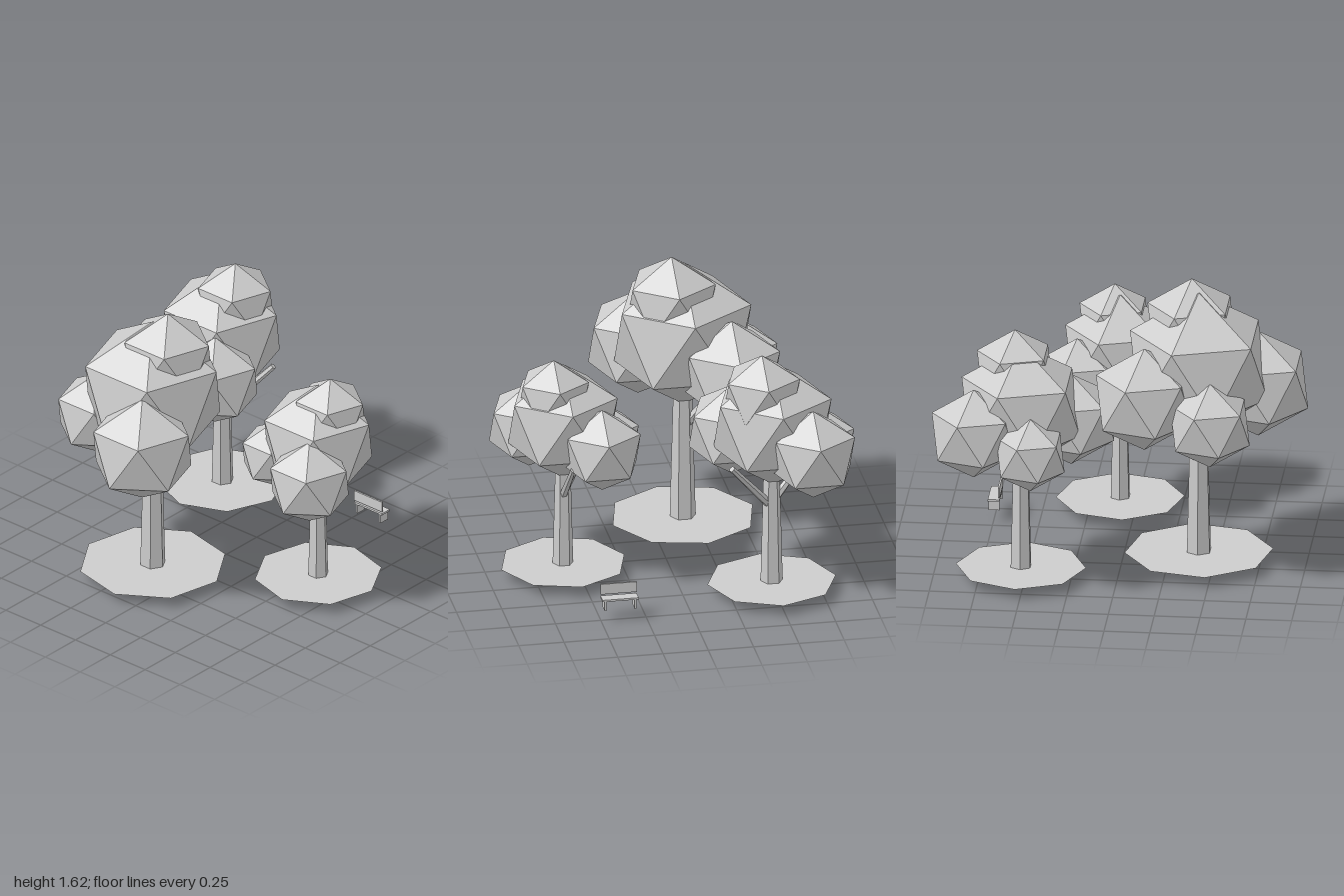
import * as THREE from 'three';

const stone = new THREE.MeshStandardMaterial({ color: 0xcccccc, flatShading: true });
stone.name = 'pale grey';
const sheet = new THREE.MeshStandardMaterial({ color: 0xcccccc, flatShading: true, side: THREE.DoubleSide });
sheet.name = 'pale grey sheet';

const GROUND = 0.062;

function add(parent, name, geometry, x = 0, y = 0, z = 0, material = stone) {
  const mesh = new THREE.Mesh(geometry, material);
  mesh.name = name;
  mesh.position.set(x, y, z);
  parent.add(mesh);
  return mesh;
}

// Icosahedron standing on a corner, with one upper corner towards +x
function clump(radius) {
  const g = new THREE.IcosahedronGeometry(radius, 0);
  g.rotateX(-Math.atan2((1 + Math.sqrt(5)) / 2, 1));
  g.rotateY(Math.PI / 2);
  return g;
}

// Tapered limb between two points
function limb(parent, name, from, to, r0, r1) {
  const a = new THREE.Vector3(...from), b = new THREE.Vector3(...to);
  const dir = b.clone().sub(a);
  const mid = a.clone().add(b).multiplyScalar(0.5);
  const mesh = add(parent, name, new THREE.CylinderGeometry(r1, r0, dir.length(), 6), mid.x, mid.y, mid.z);
  mesh.quaternion.setFromUnitVectors(new THREE.Vector3(0, 1, 0), dir.normalize());
}

// Trunk position, scale, grass disc, branches and foliage as [x, y, z, radius]
const trees = [
  {
    name: 'tallTree', x: -0.415, z: -0.17, s: 1, disc: 0.405, turn: 35,
    branches: [[0.57, -0.62, 0.8, -0.16], [0.58, -0.35, 0.8, -0.32]],
    foliage: [
      [-0.415, 1.145, -0.17, 0.42], [-0.37, 1.35, -0.1, 0.27], [-0.72, 0.975, 0.02, 0.305],
      [-0.139, 1.02, -0.39, 0.295], [-0.505, 0.92, -0.49, 0.243],
    ],
  },
  {
    name: 'middleTree', x: 0.525, z: -0.485, s: 0.86, disc: 0.355, turn: 45,
    branches: [[0.5, 0.665, 0.8, -0.24], [0.52, 0.49, 0.72, -0.65]],
    foliage: [
      [0.525, 0.993, -0.49, 0.361], [0.563, 1.183, -0.425, 0.232], [0.267, 0.86, -0.313, 0.262],
      [0.765, 0.897, -0.67, 0.255], [0.447, 0.82, -0.767, 0.209],
    ],
  },
  {
    name: 'smallTree', x: 0.085, z: 0.585, s: 0.8, disc: 0.35, turn: 38,
    branches: [[0.455, 0.34, 0.72, 0.575], [0.47, -0.03, 0.67, 0.44]],
    foliage: [
      [0.085, 0.903, 0.585, 0.335], [0.12, 1.065, 0.642, 0.215], [-0.152, 0.789, 0.728, 0.244],
      [0.303, 0.809, 0.409, 0.236], [0.013, 0.745, 0.328, 0.194],
    ],
  },
];

function makeTree(t) {
  const tree = new THREE.Group();
  tree.name = t.name;

  // Flat grass patch; the trunk goes a little below it
  const patch = new THREE.CircleGeometry(t.disc, 8);
  patch.rotateX(-Math.PI / 2);
  add(tree, 'grassPatch', patch, t.x, GROUND, t.z, sheet)
    .rotation.y = -THREE.MathUtils.degToRad(t.turn);

  const h = 0.9 * t.s;
  add(tree, 'trunk', new THREE.CylinderGeometry(0.05 * t.s, 0.073 * t.s, h, 6), t.x, h / 2, t.z);

  for (const [y0, x, y, z] of t.branches) {
    limb(tree, 'branch', [t.x, y0, t.z], [x, y, z], 0.03 * t.s, 0.02 * t.s);
  }
  for (const [x, y, z, r] of t.foliage) add(tree, 'foliage', clump(r), x, y, z);
  return tree;
}

function makeBench() {
  const bench = new THREE.Group();
  bench.name = 'bench';
  add(bench, 'seat', new THREE.BoxGeometry(0.064, 0.011, 0.2), 0.748, 0.126, 0.396);
  add(bench, 'backrest', new THREE.BoxGeometry(0.01, 0.06, 0.2), 0.72, 0.172, 0.396);
  for (const side of [-1, 1]) {
    add(bench, 'benchLeg', new THREE.BoxGeometry(0.06, 0.055, 0.01), 0.748, 0.0935, 0.396 + side * 0.083);
  }
  return bench;
}

export function createModel() {
  const model = new THREE.Group();
  model.name = 'parkTrees';
  for (const t of trees) model.add(makeTree(t));
  model.add(makeBench());
  return model;
}
